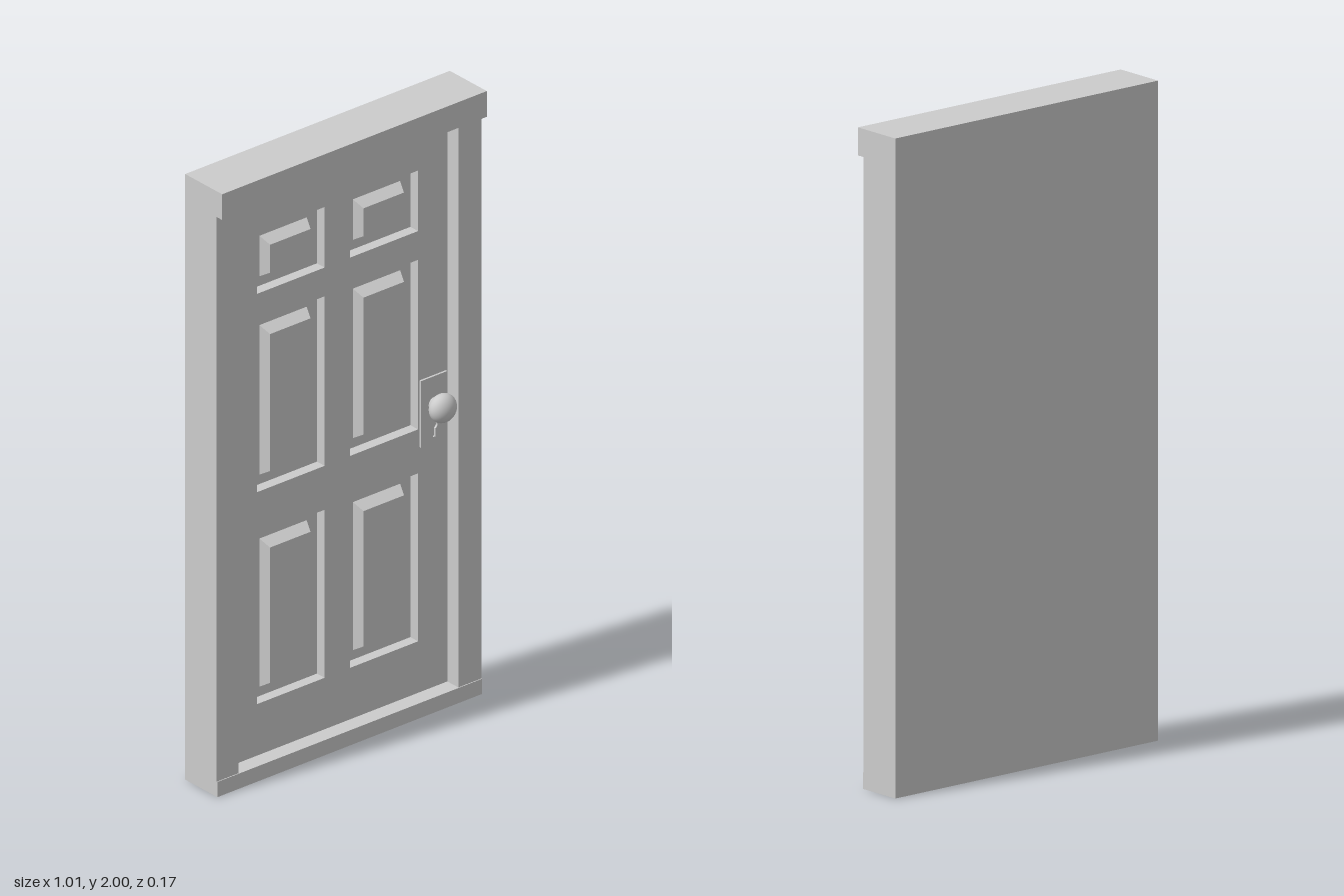
import * as THREE from 'three';

const material = new THREE.MeshStandardMaterial({ color: 0xcccccc });
const BACK = -0.088, FRONT = 0.055, FACE = 0.005, RECESS = -0.03;
const LEFT = -0.423, RIGHT = 0.419, SILL = 0.05, HEAD = 1.915;

function add(group, name, geometry, x = 0, y = 0, z = 0) {
  const mesh = new THREE.Mesh(geometry, material);
  mesh.name = name;
  mesh.position.set(x, y, z);
  group.add(mesh);
  return mesh;
}

// Box given by its two extreme corners
function block(group, name, x0, x1, y0, y1, z0, z1) {
  return add(group, name, new THREE.BoxGeometry(x1 - x0, y1 - y0, z1 - z0),
    (x0 + x1) / 2, (y0 + y1) / 2, (z0 + z1) / 2);
}

function rect(Type, x0, x1, y0, y1) {
  return new Type([[x0, y0], [x1, y0], [x1, y1], [x0, y1]].map(p => new THREE.Vector2(...p)));
}

function slab(shape, depth) {
  return new THREE.ExtrudeGeometry(shape, { depth, bevelEnabled: false, curveSegments: 16 });
}

// Raised panel: a box whose front face is drawn in on all sides
function raisedPanel(w, h, d, insetX, insetY) {
  const g = new THREE.BoxGeometry(w, h, d).toNonIndexed();
  const p = g.attributes.position;
  for (let i = 0; i < p.count; i++) {
    if (p.getZ(i) > 0) {
      p.setX(i, p.getX(i) - Math.sign(p.getX(i)) * insetX);
      p.setY(i, p.getY(i) - Math.sign(p.getY(i)) * insetY);
    }
  }
  g.computeVertexNormals();
  return g;
}

export function createModel() {
  const model = new THREE.Group();
  model.name = 'door';

  // Frame: two jambs, sill and projecting lintel
  block(model, 'rightJamb', -0.507, LEFT, SILL, HEAD, BACK, FRONT);
  block(model, 'leftJamb', RIGHT, 0.507, SILL, HEAD, BACK, FRONT);
  block(model, 'sill', -0.507, 0.507, 0, SILL, BACK, 0.058);
  block(model, 'lintel', -0.507, 0.507, HEAD, 2, BACK, 0.08);

  // Door leaf: solid back with a face layer cut for six panels
  block(model, 'doorBack', LEFT, RIGHT, SILL, HEAD, BACK, RECESS);
  const face = rect(THREE.Shape, LEFT, RIGHT, SILL, HEAD);
  for (const x of [-0.181, 0.177]) {
    for (const [y0, y1] of [[0.22, 0.775], [0.92, 1.48], [1.575, 1.775]]) {
      face.holes.push(rect(THREE.Path, x - 0.13, x + 0.13, y0, y1));
      add(model, 'raisedPanel', raisedPanel(0.181, y1 - y0 - 0.066, 0.033, 0.013, 0.021),
        x, (y0 + y1) / 2 - 0.002, RECESS + 0.0165);
    }
  }
  add(model, 'doorFace', slab(face, FACE - RECESS), 0, 0, RECESS);

  // Lock plate with a keyhole
  const kx = 0.363;
  const plate = rect(THREE.Shape, 0.312, 0.413, 0.86, 1.08);
  const keyhole = new THREE.Path();
  keyhole.absarc(kx, 0.917, 0.012, -Math.PI * 0.35, Math.PI * 1.35, false);
  keyhole.lineTo(kx - 0.005, 0.88);
  keyhole.lineTo(kx + 0.005, 0.88);
  keyhole.closePath();
  plate.holes.push(keyhole);
  add(model, 'lockPlate', slab(plate, 0.007), 0, 0, FACE);

  // Knob on a short stem
  const stem = new THREE.CylinderGeometry(0.018, 0.022, 0.04, 24).rotateX(Math.PI / 2);
  add(model, 'knobStem', stem, kx, 0.99, 0.027);
  const knob = new THREE.SphereGeometry(0.046, 32, 20).rotateX(Math.PI / 2).scale(1, 1, 0.75);
  add(model, 'knob', knob, kx, 0.99, 0.051);

  return model;
}
